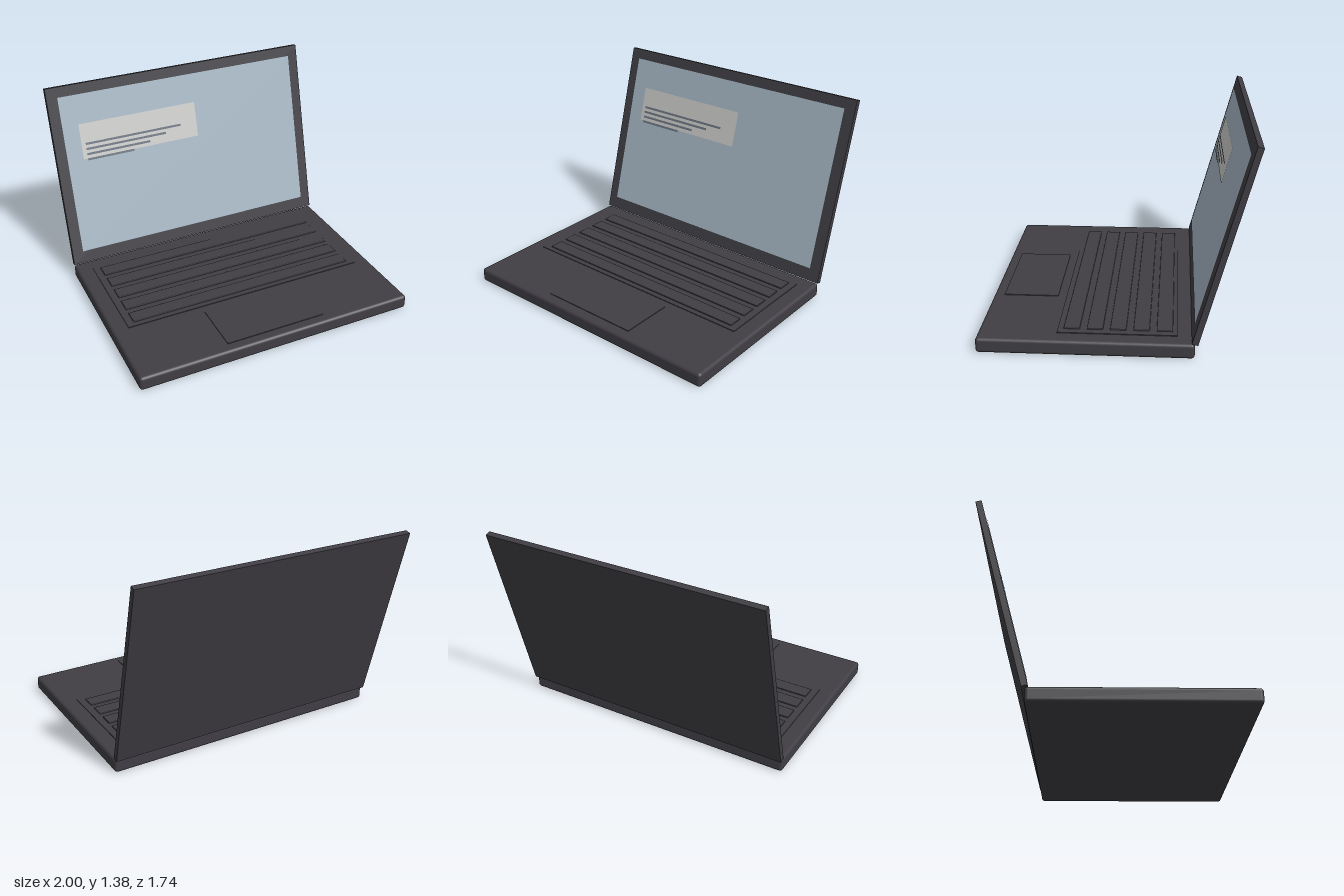
import * as THREE from 'three';
import { RoundedBoxGeometry } from 'three/addons/geometries/RoundedBoxGeometry.js';

function material(name, color, side = THREE.FrontSide) {
  const m = new THREE.MeshStandardMaterial({ color, side });
  m.name = name;
  return m;
}

export function createModel() {
  const model = new THREE.Group();
  model.name = 'laptop';

  const casing = material('charcoal casing', 0x403e44);
  const glass = material('pale blue screen', 0xa6b6c3, THREE.DoubleSide);
  const paper = material('light grey window', 0xcacac8, THREE.DoubleSide);
  const ink = material('slate text bars', 0x6b7480, THREE.DoubleSide);

  const add = (parent, name, geometry, mat, x, y, z) => {
    const mesh = new THREE.Mesh(geometry, mat);
    mesh.name = name;
    mesh.position.set(x, y, z);
    parent.add(mesh);
    return mesh;
  };

  // Base with softly rounded edges
  add(model, 'base', new RoundedBoxGeometry(2, 0.1, 1.38, 3, 0.022), casing, 0, 0.05, 0.18);

  // Keyboard deck, five key rows and the trackpad
  add(model, 'keyboardDeck', new THREE.BoxGeometry(1.78, 0.006, 0.765), casing, 0, 0.102, -0.018);
  for (let i = 0; i < 5; i++) {
    const row = new RoundedBoxGeometry(1.68, 0.012, 0.104, 2, 0.004);
    add(model, 'keyRow' + (i + 1), row, casing, 0, 0.106, 0.275 - i * 0.149);
  }
  add(model, 'trackpad', new THREE.BoxGeometry(0.72, 0.006, 0.375), casing, 0, 0.102, 0.61);

  // Lid, leaning back from the rear edge
  const lid = new THREE.Group();
  lid.name = 'lid';
  lid.position.set(0, 0.738, -0.68);
  lid.rotation.x = -Math.PI / 12;
  model.add(lid);
  add(lid, 'lidShell', new THREE.BoxGeometry(2, 1.318, 0.04), casing, 0, 0, 0);

  // Display sheet, floating just in front of the shell
  add(lid, 'screen', new THREE.PlaneGeometry(1.845, 1.154), glass, 0, 0.008, 0.027);
  add(lid, 'screenWindow', new THREE.PlaneGeometry(0.9, 0.259), paper, -0.355, 0.242, 0.030);

  // Text bars, all starting at the same left margin
  const left = -0.775;
  [[0.74, 0.222], [0.615, 0.184], [0.485, 0.146], [0.355, 0.107]].forEach(([w, y], i) => {
    add(lid, 'textBar' + (i + 1), new THREE.PlaneGeometry(w, 0.016), ink, left + w / 2, y, 0.033);
  });

  return model;
}
